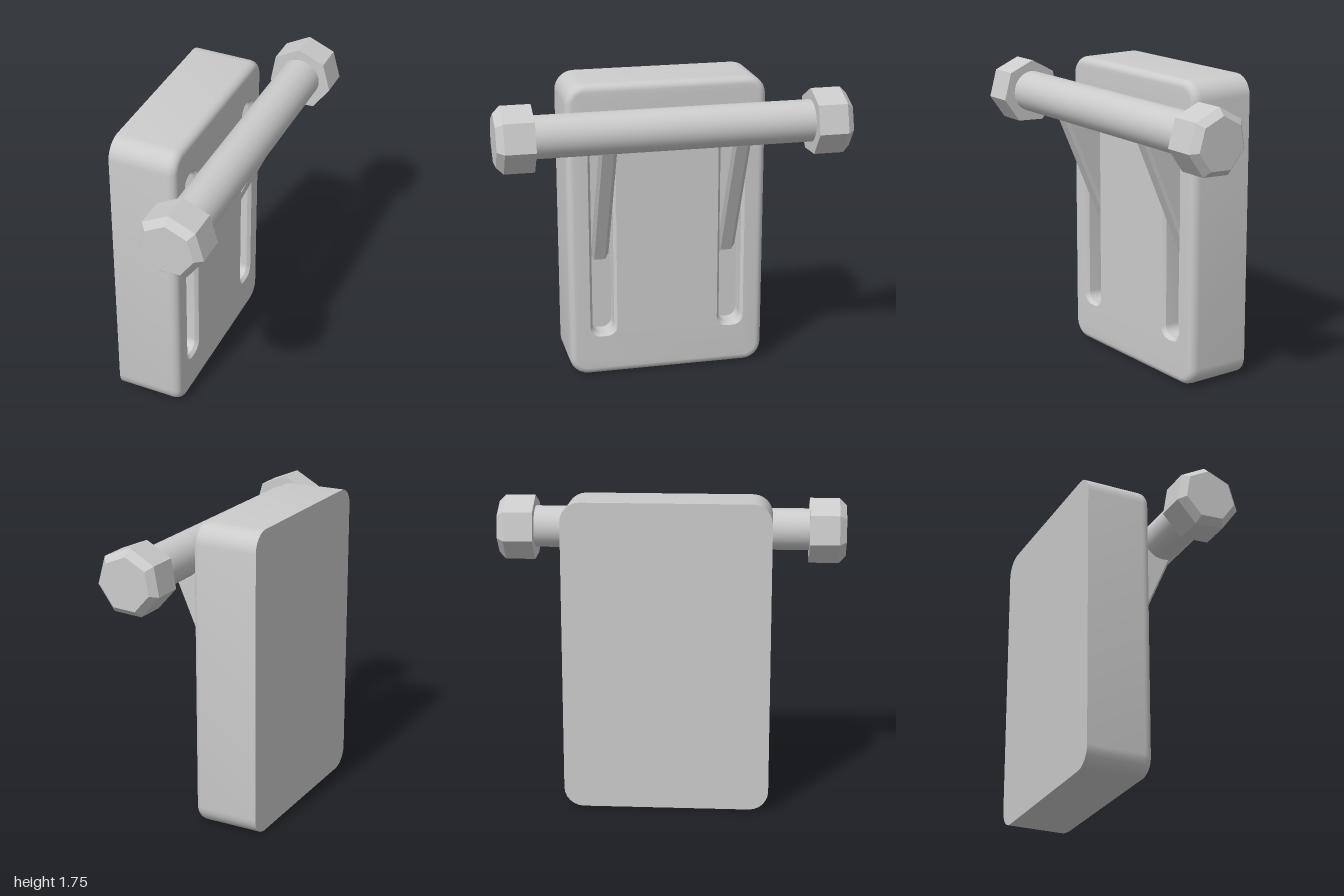
import * as THREE from 'three';
import { mergeGeometries, toCreasedNormals } from 'three/addons/utils/BufferGeometryUtils.js';

const grey = new THREE.MeshStandardMaterial({ color: 0xcccccc });
const facetGrey = new THREE.MeshStandardMaterial({ color: 0xcccccc, flatShading: true });

// counter-clockwise rounded rectangle
function roundedRect(cx, cy, hw, hh, r, steps = 6) {
  const pts = [];
  [[1, 1], [-1, 1], [-1, -1], [1, -1]].forEach(([sx, sy], k) => {
    for (let i = 0; i <= steps; i++) {
      const a = (k + i / steps) * Math.PI / 2;
      pts.push(new THREE.Vector2(cx + sx * (hw - r) + r * Math.cos(a), cy + sy * (hh - r) + r * Math.sin(a)));
    }
  });
  return pts;
}

// wall through a list of [outline, depth] rings
function loft(rings) {
  const pos = [];
  for (let k = 0; k < rings.length - 1; k++) {
    const [a, za] = rings[k], [b, zb] = rings[k + 1];
    for (let i = 0; i < a.length; i++) {
      const j = (i + 1) % a.length;
      const p = [a[i].x, a[i].y, za], q = [a[j].x, a[j].y, za];
      const r = [b[j].x, b[j].y, zb], s = [b[i].x, b[i].y, zb];
      pos.push(...p, ...q, ...r, ...p, ...r, ...s);
    }
  }
  return new THREE.BufferGeometry().setAttribute('position', new THREE.Float32BufferAttribute(pos, 3));
}

// flat face filling an outline, with optional holes
function cap(outline, z, holes = []) {
  const shape = new THREE.Shape(outline);
  holes.forEach(h => shape.holes.push(new THREE.Path(h)));
  const g = new THREE.ShapeGeometry(shape).toNonIndexed();
  g.deleteAttribute('uv');
  g.deleteAttribute('normal');
  return g.translate(0, 0, z);
}

const BACK = -0.365, FACE = 0.02, FLOOR = -0.09, SLOT_Z = 0.38;
const BAR_X = 0.175, BAR_Y = 1.517;

// plate with rounded front rim and two slots, built facing z and turned to face x
function plateGeometry() {
  const outline = inset => roundedRect(0, 0.875, 0.58 - inset, 0.875 - inset, 0.11 - inset);
  const rim = [[outline(0), BACK]];
  for (let i = 0; i <= 5; i++) {
    const a = i / 5 * Math.PI / 2;
    rim.push([outline(0.04 * (1 - Math.cos(a))), FACE - 0.05 + 0.05 * Math.sin(a)]);
  }
  const slot = (side, inset) => roundedRect(side * SLOT_Z, 0.895, 0.08 - inset, 0.655 - inset, 0.06 - inset * 0.3);
  const sides = [-1, 1];
  const parts = [
    loft(rim),
    cap(outline(0.04), FACE, sides.map(s => slot(s, 0))),
    cap(outline(0), -BACK).rotateY(Math.PI),
  ];
  sides.forEach(s => {
    parts.push(loft([[slot(s, 0), FACE], [slot(s, 0.016), FACE - 0.02], [slot(s, 0.016), FLOOR]]));
    parts.push(cap(slot(s, 0.016), FLOOR));
  });
  return toCreasedNormals(mergeGeometries(parts), 0.5).rotateY(Math.PI / 2);
}

// flat bar with chamfered long edges, running down from its origin
function strutGeometry() {
  const w = 0.092, t = 0.052, cw = 0.014, ct = 0.02, length = 0.9;
  const section = new THREE.Shape([
    [w, -t + ct], [w, t - ct], [w - cw, t], [-w + cw, t],
    [-w, t - ct], [-w, -t + ct], [-w + cw, -t], [w - cw, -t],
  ].map(p => new THREE.Vector2(...p)));
  return new THREE.ExtrudeGeometry(section, { depth: length, bevelEnabled: false }).rotateX(Math.PI / 2);
}

export function createModel() {
  const model = new THREE.Group();
  const add = (name, geometry, material, x, y, z) => {
    const mesh = new THREE.Mesh(geometry, material);
    mesh.name = name;
    mesh.position.set(x, y, z);
    model.add(mesh);
    return mesh;
  };

  add('slottedPlate', plateGeometry(), grey, 0, 0, 0);
  add('crossBar', new THREE.CylinderGeometry(0.12, 0.12, 1.64, 32).rotateX(Math.PI / 2), grey, BAR_X, BAR_Y, 0);

  // seven-sided end knobs, chamfered at the outer end
  const profile = [[0, 0], [0.19, 0], [0.19, 0.17], [0.15, 0.21], [0, 0.21]].map(p => new THREE.Vector2(...p));
  const strut = strutGeometry();
  for (const [side, label] of [[1, 'front'], [-1, 'back']]) {
    const knob = new THREE.LatheGeometry(profile, 7)
      .rotateX(side * Math.PI / 2)
      .rotateZ(THREE.MathUtils.degToRad(side > 0 ? 183 : 3));
    add(label + 'Knob', knob, facetGrey, BAR_X, BAR_Y - 0.005, side * 0.79);

    // strut leaning from the bar into the slot
    add(label + 'Strut', strut, facetGrey, BAR_X, BAR_Y, side * SLOT_Z)
      .rotation.z = -Math.atan2(0.155, 0.355);
  }
  return model;
}
